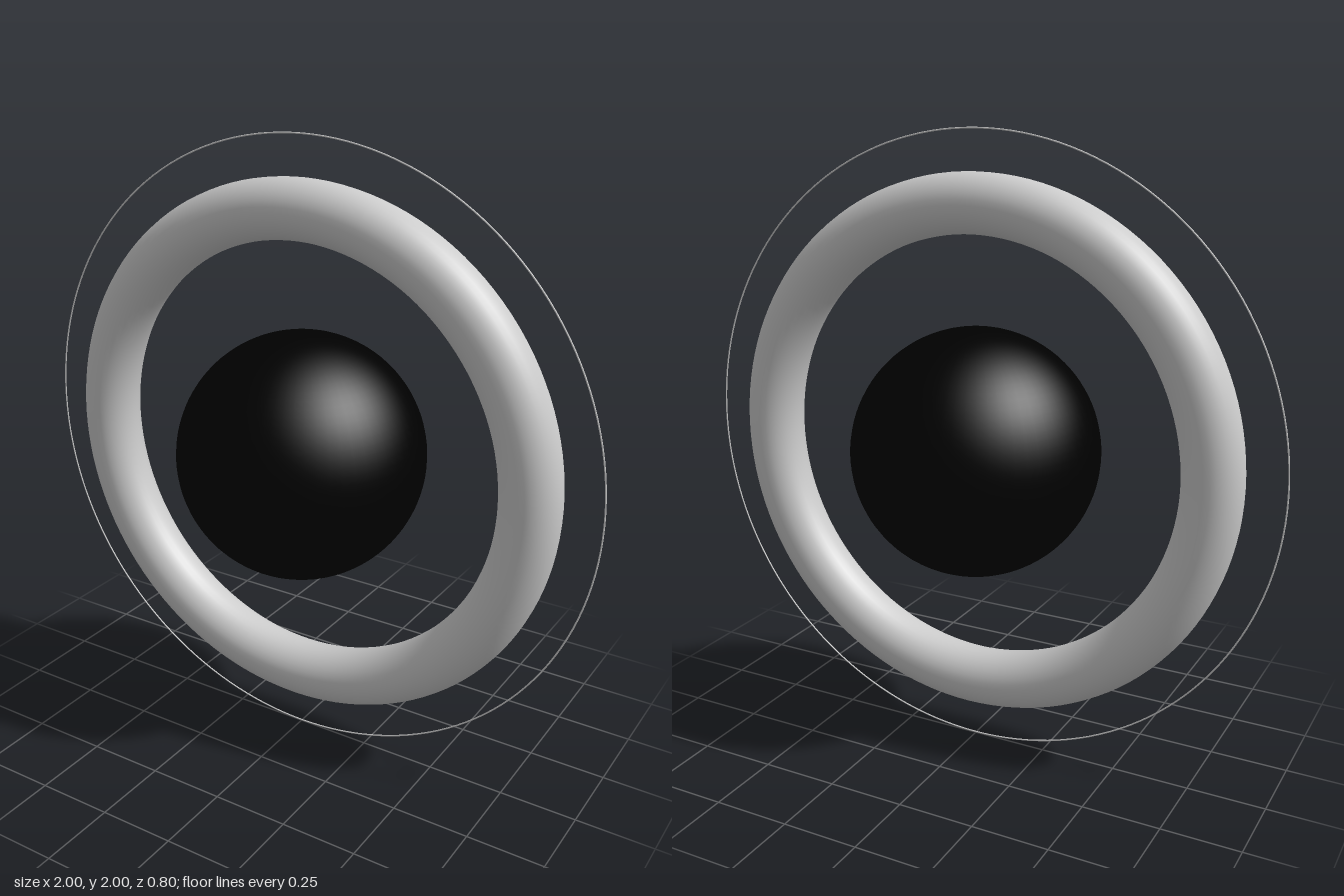
import * as THREE from 'three';

export function createModel() {
  const model = new THREE.Group();
  const grey = new THREE.MeshStandardMaterial({ color: 0xcccccc });
  const black = new THREE.MeshStandardMaterial({ color: 0x000000 });

  const add = (name, geometry, material) => {
    const mesh = new THREE.Mesh(geometry, material);
    mesh.name = name;
    mesh.position.y = 1;
    model.add(mesh);
  };

  // Dark ball at the centre
  add('core', new THREE.SphereGeometry(0.398, 64, 48), black);
  // Thick upright ring around it
  add('thickRing', new THREE.TorusGeometry(0.778, 0.0935, 32, 128), grey);
  // Hair-thin outer ring
  add('thinOuterRing', new THREE.TorusGeometry(0.9975, 0.0025, 12, 160), grey);

  return model;
}
